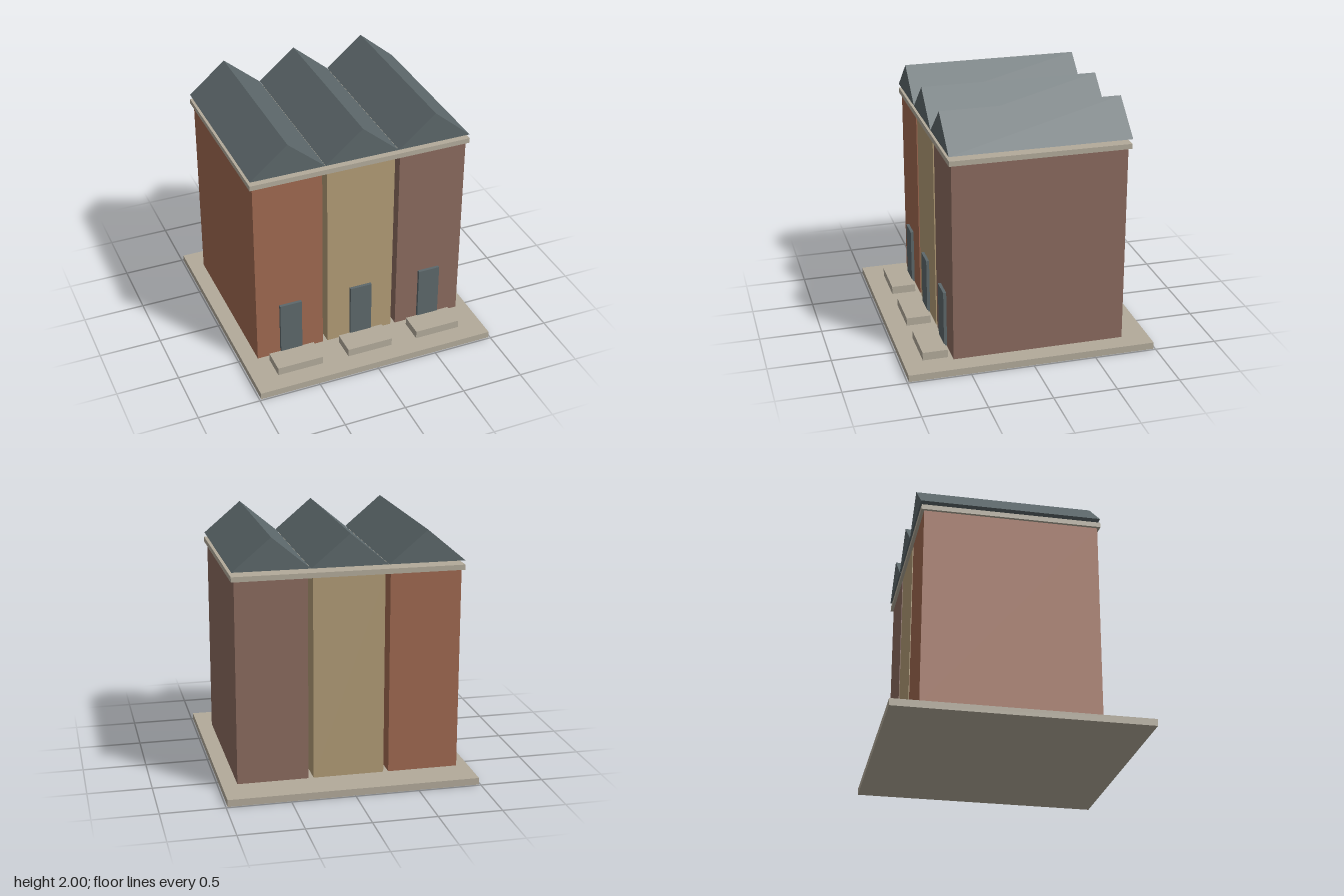
import * as THREE from 'three';

const material = (name, color) => {
  const m = new THREE.MeshStandardMaterial({ color });
  m.name = name;
  return m;
};

export function createModel() {
  const stone = material('pale stone', 0xb2aa9a);
  const slate = material('slate', 0x5c676a);
  const walls = [
    material('red brick', 0x9e6850),
    material('tan brick', 0xb09a75),
    material('brown brick', 0x8a6a5e),
  ];
  const model = new THREE.Group();
  model.name = 'terracedHouses';

  // Box given by its lower and upper limits on each axis
  const box = (parent, name, mat, [x0, x1], [y0, y1], [z0, z1]) => {
    const mesh = new THREE.Mesh(new THREE.BoxGeometry(x1 - x0, y1 - y0, z1 - z0), mat);
    mesh.position.set((x0 + x1) / 2, (y0 + y1) / 2, (z0 + z1) / 2);
    mesh.name = name;
    parent.add(mesh);
  };

  // Shared paving slab and cornice
  box(model, 'base', stone, [-0.987, 0.987], [0, 0.055], [-0.987, 0.987]);
  box(model, 'cornice', stone, [-0.897, 0.897], [1.675, 1.715], [-0.78, 0.63]);

  // Gable roof prism, running front to back
  const gable = new THREE.Shape();
  gable.moveTo(-0.297, 1.75);
  gable.lineTo(0.297, 1.75);
  gable.lineTo(0, 2);
  gable.closePath();
  const roofGeometry = new THREE.ExtrudeGeometry(gable, { depth: 1.415, bevelEnabled: false });

  // Three houses side by side
  walls.forEach((wall, i) => {
    const house = new THREE.Group();
    house.name = ['rightHouse', 'middleHouse', 'leftHouse'][i];
    house.position.x = (i - 1) * 0.596;
    box(house, 'walls', wall, [-0.278, 0.278], [0.08, 1.675], [-0.757, 0.61]);
    box(house, 'door', slate, [-0.09, 0.09], [0.105, 0.56], [0.617, 0.641]);
    box(house, 'doorstep', stone, [-0.189, 0.189], [0.055, 0.12], [0.635, 0.833]);
    const roof = new THREE.Mesh(roofGeometry, slate);
    roof.name = 'roof';
    roof.position.z = -0.785;
    house.add(roof);
    model.add(house);
  });

  return model;
}
